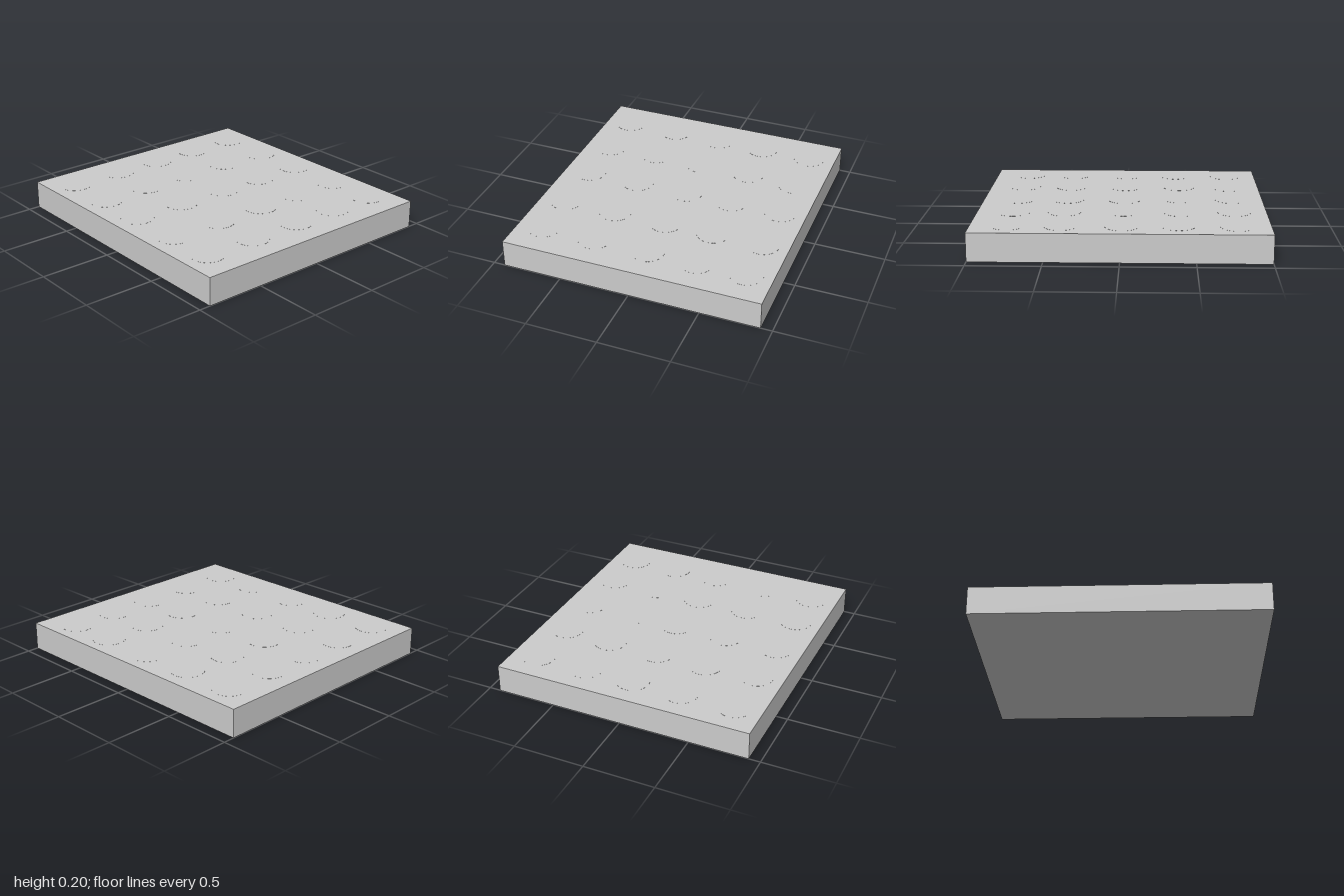
import * as THREE from 'three';

const WIDTH = 1.84, HEIGHT = 0.197, DEPTH = 2;
const DISC_RADIUS = 0.115, DISC_HEIGHT = 0.05, DISC_LIFT = 0.0005;

// Disc centres [x, z], row by row from the back; the spacing is slightly uneven
const ROWS = [
  [[-0.73, -0.775], [-0.35, -0.775], [0.005, -0.775], [0.357, -0.775], [0.726, -0.775]],
  [[-0.73, -0.386], [-0.363, -0.407], [0, -0.402], [0.367, -0.402], [0.72, -0.383]],
  [[-0.73, -0.01], [-0.35, -0.01], [0.03, -0.01], [0.37, -0.01], [0.735, -0.01]],
  [[-0.73, 0.395], [-0.35, 0.395], [0.03, 0.395], [0.378, 0.395], [0.735, 0.395]],
  [[-0.73, 0.746], [-0.35, 0.746], [0.04, 0.746], [0.39, 0.746], [0.735, 0.746]],
];

export function createModel() {
  const model = new THREE.Group();
  model.name = 'studdedSlab';
  const material = new THREE.MeshStandardMaterial({ color: 0xcccccc });

  // Rectangular slab
  const slab = new THREE.Mesh(new THREE.BoxGeometry(WIDTH, HEIGHT, DEPTH), material);
  slab.name = 'slab';
  slab.position.y = HEIGHT / 2;
  model.add(slab);

  // Round inlays, set practically flush with the top
  const inlays = new THREE.Group();
  inlays.name = 'discInlays';
  const discGeometry = new THREE.CylinderGeometry(DISC_RADIUS, DISC_RADIUS, DISC_HEIGHT, 64);
  ROWS.forEach((row, r) => row.forEach(([x, z], c) => {
    const disc = new THREE.Mesh(discGeometry, material);
    disc.name = `disc_row${r + 1}_column${c + 1}`;
    disc.position.set(x, HEIGHT + DISC_LIFT - DISC_HEIGHT / 2, z);
    inlays.add(disc);
  }));
  model.add(inlays);

  return model;
}
